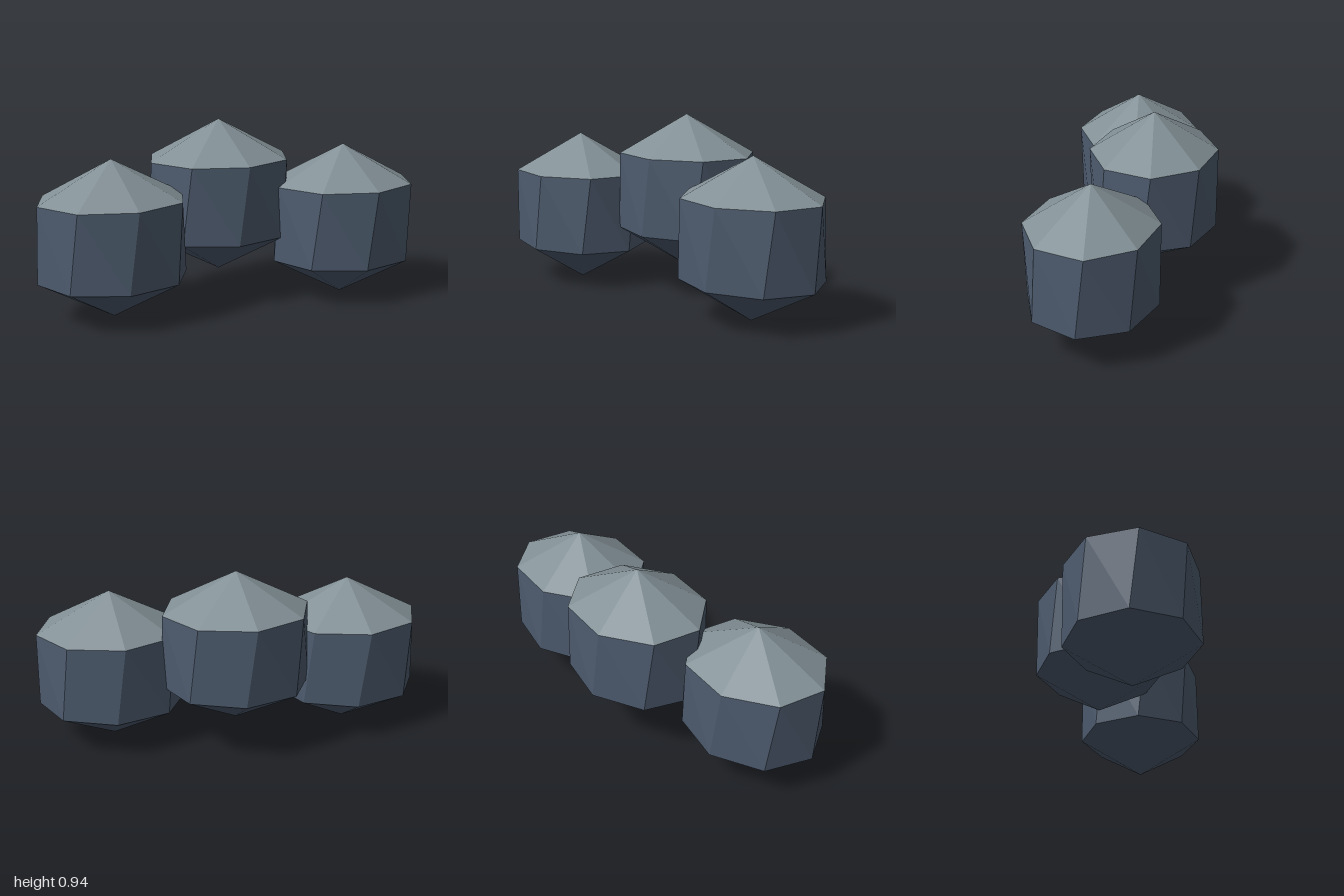
import * as THREE from 'three';

const SIDES = 8;
const RX = 0.38, RZ = 0.325;          // elliptical girth
const TWIST = THREE.MathUtils.degToRad(8);

// Elliptical ring of corners at height y, turned by an angle
function ring(y, turn) {
  return Array.from({ length: SIDES }, (_, i) => {
    const a = (i / SIDES) * Math.PI * 2 - turn;
    return new THREE.Vector3(RX * Math.cos(a), y, RZ * Math.sin(a));
  });
}

// Faceted surface between two rings; a single point closes to a tip
function facets(upper, lower) {
  const points = [];
  for (let i = 0; i < SIDES; i++) {
    const j = (i + 1) % SIDES;
    const at = (r, k) => r[k % r.length];
    if (lower.length > 1) points.push(at(upper, j), at(lower, j), at(lower, i));
    if (upper.length > 1) points.push(at(upper, j), at(lower, i), at(upper, i));
  }
  const geometry = new THREE.BufferGeometry().setFromPoints(points);
  geometry.computeVertexNormals();
  return geometry;
}

export function createModel() {
  const paleStone = new THREE.MeshStandardMaterial({ color: 0x829096, flatShading: true });
  paleStone.name = 'paleStone';
  const slateStone = new THREE.MeshStandardMaterial({ color: 0x4d5b6e, flatShading: true });
  slateStone.name = 'slateStone';

  // Rings and tips shared by every stone
  const apex = [new THREE.Vector3(0, 0.8, 0)];
  const shoulder = ring(0.6, TWIST);
  const base = ring(0.2, 0);
  const tip = [new THREE.Vector3(0, 0, 0)];
  const parts = [
    ['cap', facets(apex, shoulder), paleStone],
    ['body', facets(shoulder, base), slateStone],
    ['point', facets(base, tip), slateStone],
  ];

  const model = new THREE.Group();
  model.name = 'stoneCluster';

  // Two outer stones forward and low, the middle one back and raised
  const places = [
    ['rightStone', -0.62, 0, 0.095],
    ['middleStone', 0, 0.135, -0.095],
    ['leftStone', 0.62, 0, 0.095],
  ];
  for (const [name, x, y, z] of places) {
    const stone = new THREE.Group();
    stone.name = name;
    stone.position.set(x, y, z);
    for (const [partName, geometry, material] of parts) {
      const mesh = new THREE.Mesh(geometry, material);
      mesh.name = partName;
      stone.add(mesh);
    }
    model.add(stone);
  }
  return model;
}
